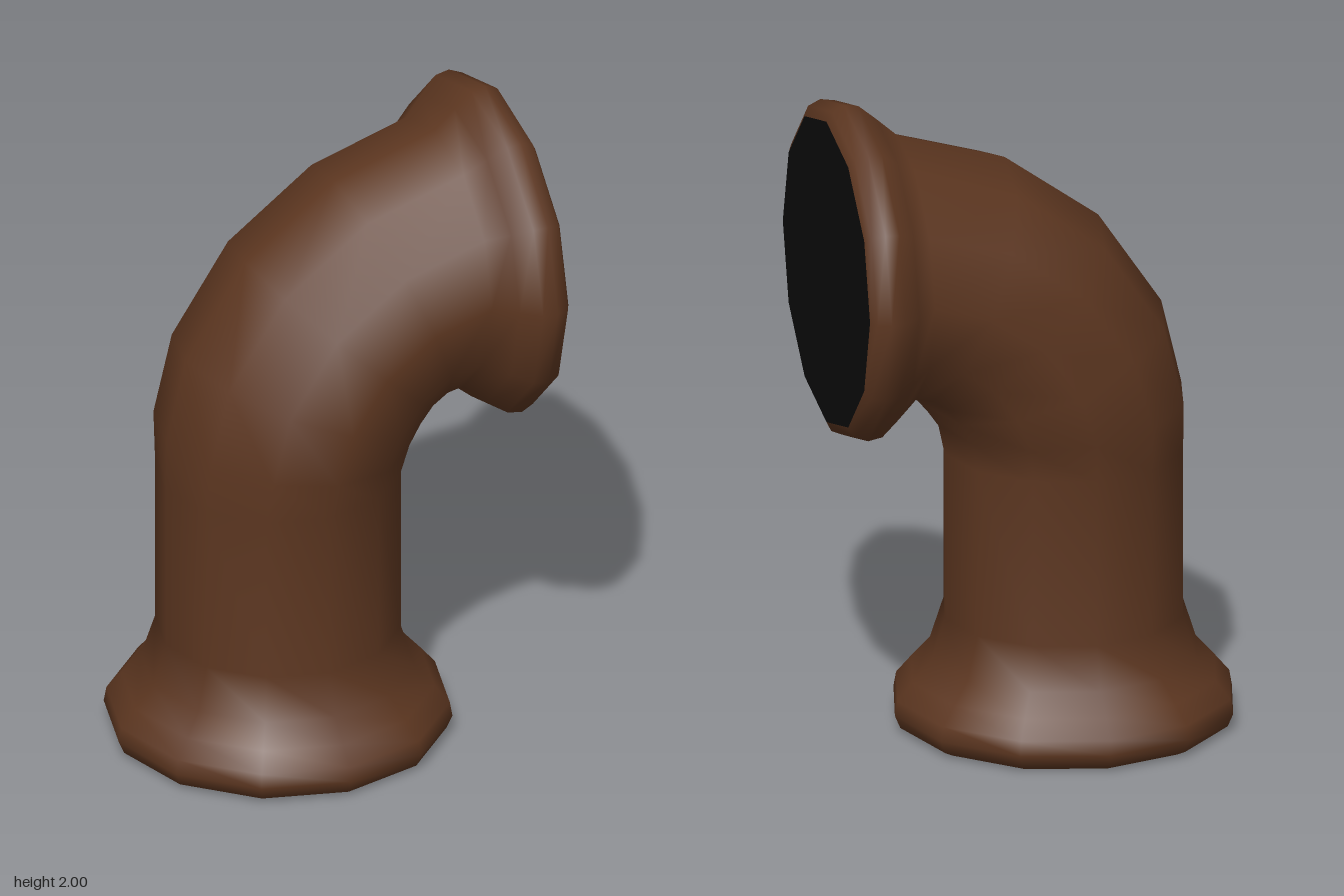
import * as THREE from 'three';

const SIDES = 12;
const BASE_X = -0.107, MOUTH_Y = 1.48;

// Skin a list of rings, each given by its outer and inner point in the xy plane and its z radius
function skin(rings) {
  const pos = [], index = [];
  rings.forEach(([ox, oy, ix, iy, rz], r) => {
    for (let s = 0; s < SIDES; s++) {
      const a = (s / SIDES) * Math.PI * 2, c = Math.cos(a) / 2;
      pos.push((ox + ix) / 2 + (ox - ix) * c, (oy + iy) / 2 + (oy - iy) * c, rz * Math.sin(a));
      if (r === rings.length - 1) continue;
      const i = r * SIDES + s, j = r * SIDES + ((s + 1) % SIDES);
      index.push(i, j, i + SIDES, j, j + SIDES, i + SIDES);
    }
  });
  const g = new THREE.BufferGeometry();
  g.setAttribute('position', new THREE.Float32BufferAttribute(pos, 3));
  g.setIndex(index);
  g.computeVertexNormals();
  return g;
}

export function createModel() {
  const group = new THREE.Group();
  const brown = new THREE.MeshStandardMaterial({ color: 0x5c3620 });
  const black = new THREE.MeshStandardMaterial({ color: 0x0b0b0b });
  const add = (name, geometry, material) => {
    const mesh = new THREE.Mesh(geometry, material);
    mesh.name = name;
    group.add(mesh);
    return mesh;
  };

  // Flared lip: [distance from the open end, radius]
  const lip = [[0, 0.475], [0.015, 0.505], [0.055, 0.522], [0.1, 0.514], [0.155, 0.468], [0.22, 0.41]];
  const upright = ([y, r]) => [BASE_X - r, y, BASE_X + r, y, r];
  const sideways = ([d, r]) => [0.627 - d, MOUTH_Y + r, 0.627 - d, MOUTH_Y - r, r];

  // Base lip, straight shaft, elbow and mouth lip in one skin
  add('pipe', skin([
    ...lip.map(upright),
    ...[[0.35, 0.368], [0.87, 0.368]].map(upright),
    [-0.472, 1.03, 0.28, 0.96, 0.41],
    [-0.41, 1.29, 0.315, 1.01, 0.41],
    [-0.215, 1.58, 0.345, 1.045, 0.41],
    [0.075, 1.79, 0.375, 1.065, 0.41],
    ...lip.map(sideways).reverse(),
  ]), brown);

  // Dark discs closing both openings
  add('baseOpening', new THREE.CircleGeometry(0.475, SIDES).rotateX(Math.PI / 2), black)
    .position.set(BASE_X, 0, 0);
  add('mouthOpening', new THREE.CircleGeometry(0.475, SIDES).rotateY(Math.PI / 2), black)
    .position.set(0.627, MOUTH_Y, 0);
  return group;
}
